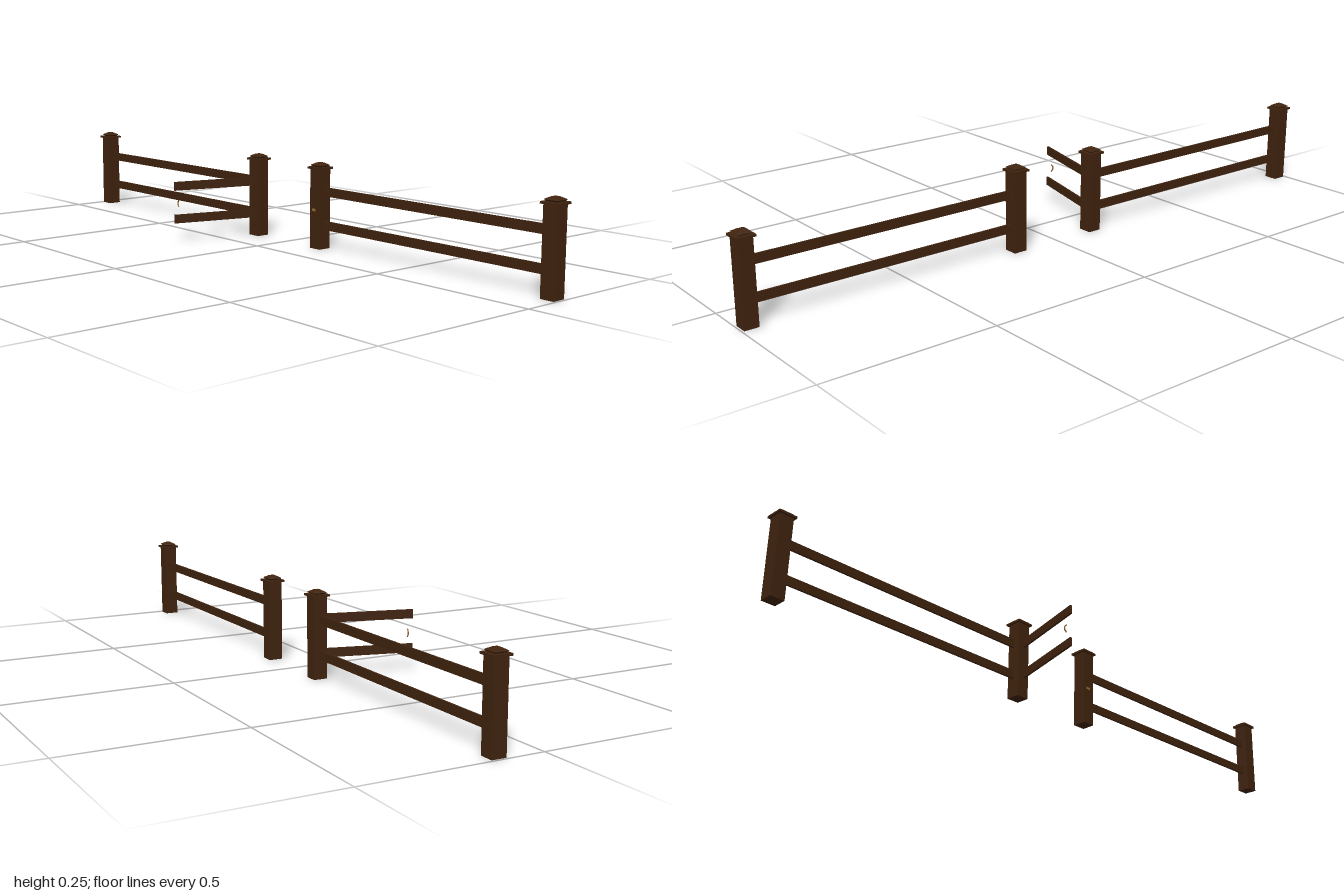
import * as THREE from 'three';

const wood = new THREE.MeshStandardMaterial({ color: 0x40230e });
wood.name = 'dark wood';
const brass = new THREE.MeshStandardMaterial({ color: 0x8f6a32 });
brass.name = 'brass';

const LINE_Z = -0.123;
const RAIL_HEIGHTS = [0.07, 0.1695];

function box(name, w, h, d, x, y, z, material = wood) {
  const mesh = new THREE.Mesh(new THREE.BoxGeometry(w, h, d), material);
  mesh.name = name;
  mesh.position.set(x, y, z);
  return mesh;
}

// Square post with an overhanging plate and a faceted finial
function makePost(x) {
  const post = new THREE.Group();
  post.name = 'post';
  post.add(box('postShaft', 0.041, 0.237, 0.041, 0, 0.1185, 0));
  post.add(box('capPlate', 0.053, 0.006, 0.053, 0, 0.238, 0));

  const profile = [[0.013, 0.24], [0.02, 0.2455], [0.019, 0.247], [0.007, 0.2535], [0, 0.2545]]
    .map(([half, y]) => new THREE.Vector2(half * Math.SQRT2, y));
  const geometry = new THREE.LatheGeometry(profile, 4).toNonIndexed();
  geometry.rotateY(Math.PI / 4);
  geometry.computeVertexNormals();
  const finial = new THREE.Mesh(geometry, wood);
  finial.name = 'capFinial';
  post.add(finial);

  post.position.set(x, 0, LINE_Z);
  return post;
}

// Open gate, built along local +x from its hinge
function makeGate() {
  const gate = new THREE.Group();
  gate.name = 'gate';
  const length = 0.259;
  for (const y of RAIL_HEIGHTS) {
    gate.add(box('gateRail', length, 0.026, 0.006, length / 2, y, 0));
  }

  // Curved pull handle between the rails
  const curve = new THREE.CatmullRomCurve3([
    new THREE.Vector3(0.243, 0.104, 0.004),
    new THREE.Vector3(0.243, 0.109, 0.009),
    new THREE.Vector3(0.243, 0.1155, 0.011),
    new THREE.Vector3(0.243, 0.122, 0.009),
    new THREE.Vector3(0.243, 0.127, 0.004),
  ]);
  const handle = new THREE.Mesh(new THREE.TubeGeometry(curve, 12, 0.002, 6), brass);
  handle.name = 'gateHandle';
  gate.add(handle);

  gate.position.set(-0.141, 0, -0.099);
  gate.rotation.y = -Math.atan2(0.251, -0.064);
  return gate;
}

export function createModel() {
  const model = new THREE.Group();
  model.name = 'fenceWithGate';

  // Two mirrored fence sections
  for (const side of [-1, 1]) {
    const section = new THREE.Group();
    section.name = side < 0 ? 'rightFence' : 'leftFence';
    section.add(makePost(side * 0.9735), makePost(side * 0.14));
    for (const y of RAIL_HEIGHTS) {
      section.add(box('fenceRail', 0.81, 0.026, 0.006, side * 0.557, y, LINE_Z));
    }
    model.add(section);
  }

  model.add(makeGate());

  // Small latch plate on the post opposite the hinge
  model.add(box('latchPlate', 0.014, 0.007, 0.004, 0.137, 0.115, -0.102, brass));
  return model;
}
